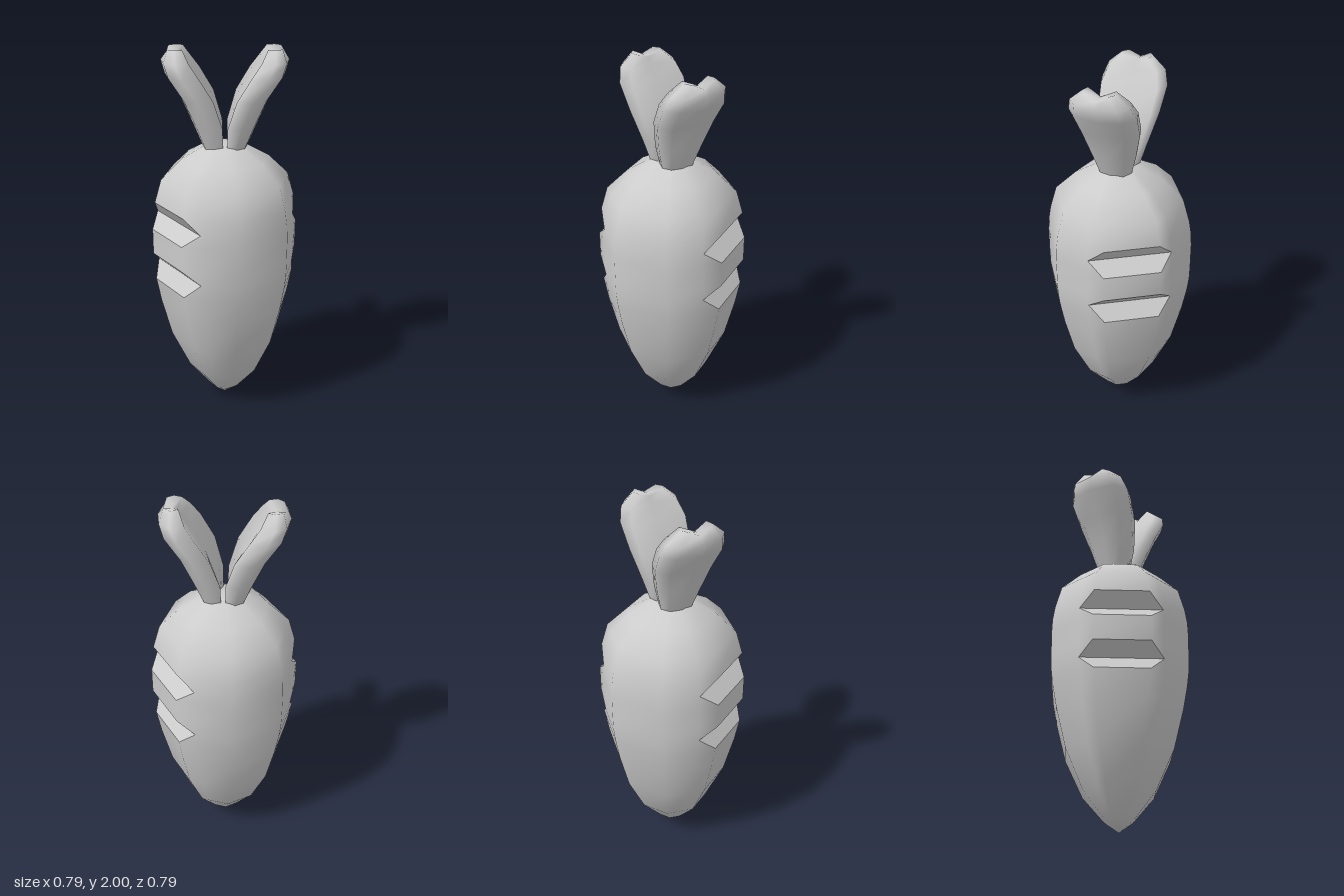
import * as THREE from 'three';
import { mergeVertices } from 'three/addons/utils/BufferGeometryUtils.js';

const material = new THREE.MeshStandardMaterial({ color: 0xcccccc });
const flatMaterial = new THREE.MeshStandardMaterial({ color: 0xcccccc, flatShading: true });

// Skin closed rings of [x, y, z] points, bottom to top, keeping the quads that pass the filter
function loft(rings, keep = () => true) {
  const n = rings[0].length;
  const index = [];
  for (let i = 0; i < rings.length - 1; i++) {
    for (let j = 0; j < n; j++) {
      if (!keep(i, j)) continue;
      const a = i * n + j, b = i * n + (j + 1) % n;
      index.push(a, a + n, b, b, a + n, b + n);
    }
  }
  const geometry = new THREE.BufferGeometry();
  geometry.setAttribute('position', new THREE.Float32BufferAttribute(rings.flat(2), 3));
  geometry.setIndex(index);
  const merged = mergeVertices(geometry, 1e-4);
  merged.computeVertexNormals();
  return merged;
}

// Root profile: [radius, height, 1 where a groove is deepest]
const profile = [
  [0, 0], [0.08, 0.06], [0.2, 0.2], [0.3, 0.41], [0.355, 0.62],
  [0.38, 0.75], [0.39, 0.83, 1], [0.392, 0.9],
  [0.393, 1.04], [0.39, 1.11, 1], [0.377, 1.19],
  [0.342, 1.315], [0.235, 1.42], [0.11, 1.49], [0, 1.505],
];

// Octagonal ring with extra points beside the grooved facets, where the groove ends run out
function rootRing([r, y, deep]) {
  const corner = (k) => [r * Math.cos(k * Math.PI / 4), y, r * Math.sin(k * Math.PI / 4)];
  const ring = [];
  for (let k = 0; k < 8; k++) {
    const side = { 2: -1, 3: 1 }[k % 4];
    if (!side) {
      ring.push(corner(k));
      continue;
    }
    const c = corner(k), next = corner(k + side);
    const tip = c.map((v, i) => v + (next[i] - v) * 0.33);
    const edge = deep ? tip : c;
    ring.push(...(side < 0 ? [tip, edge] : [edge, tip]));
  }
  return ring;
}

// Leaf stations: height, outward offset, half width, half thickness, dip at the middle
const leafStations = [
  [1.46, 0.055, 0.085, 0.05, 0],
  [1.6, 0.085, 0.125, 0.08, 0],
  [1.75, 0.14, 0.165, 0.09, 0],
  [1.87, 0.215, 0.178, 0.093, 0],
  [1.94, 0.25, 0.155, 0.077, 0],
  [2.0, 0.255, 0.085, 0.045, 0.03],
  [1.975, 0.255, 0, 0, 0],
];
// Cupped leaf section: [across, outward]
const leafSection = [
  [0, 1], [0.7, 0.75], [1, 0], [0.85, -0.9],
  [0, -0.5], [-0.85, -0.9], [-1, 0], [-0.7, 0.75],
];

export function createModel() {
  const model = new THREE.Group();
  model.name = 'carrot';
  const add = (name, geometry, mat) => {
    const mesh = new THREE.Mesh(geometry, mat);
    mesh.name = name;
    model.add(mesh);
    return mesh;
  };

  // Root, with its V-shaped grooves on two opposite facets
  const rings = profile.map(rootRing);
  const isGroove = (i, j) => j % 6 === 3 && Boolean(profile[i][2] || profile[i + 1][2]);
  add('root', loft(rings, (i, j) => !isGroove(i, j)), material);
  add('grooves', loft(rings, isGroove), flatMaterial);

  // Two leaves leaning away from each other
  const leaf = loft(leafStations.map(([y, out, width, thick, dip]) =>
    leafSection.map(([u, v]) => [out + v * thick, y - dip * (u === 0 ? 1 : 0), u * width])));
  for (const [name, turn] of [['leftLeaf', 0], ['rightLeaf', Math.PI]]) {
    add(name, leaf, material).rotation.y = 0.61 + turn;
  }

  return model;
}
